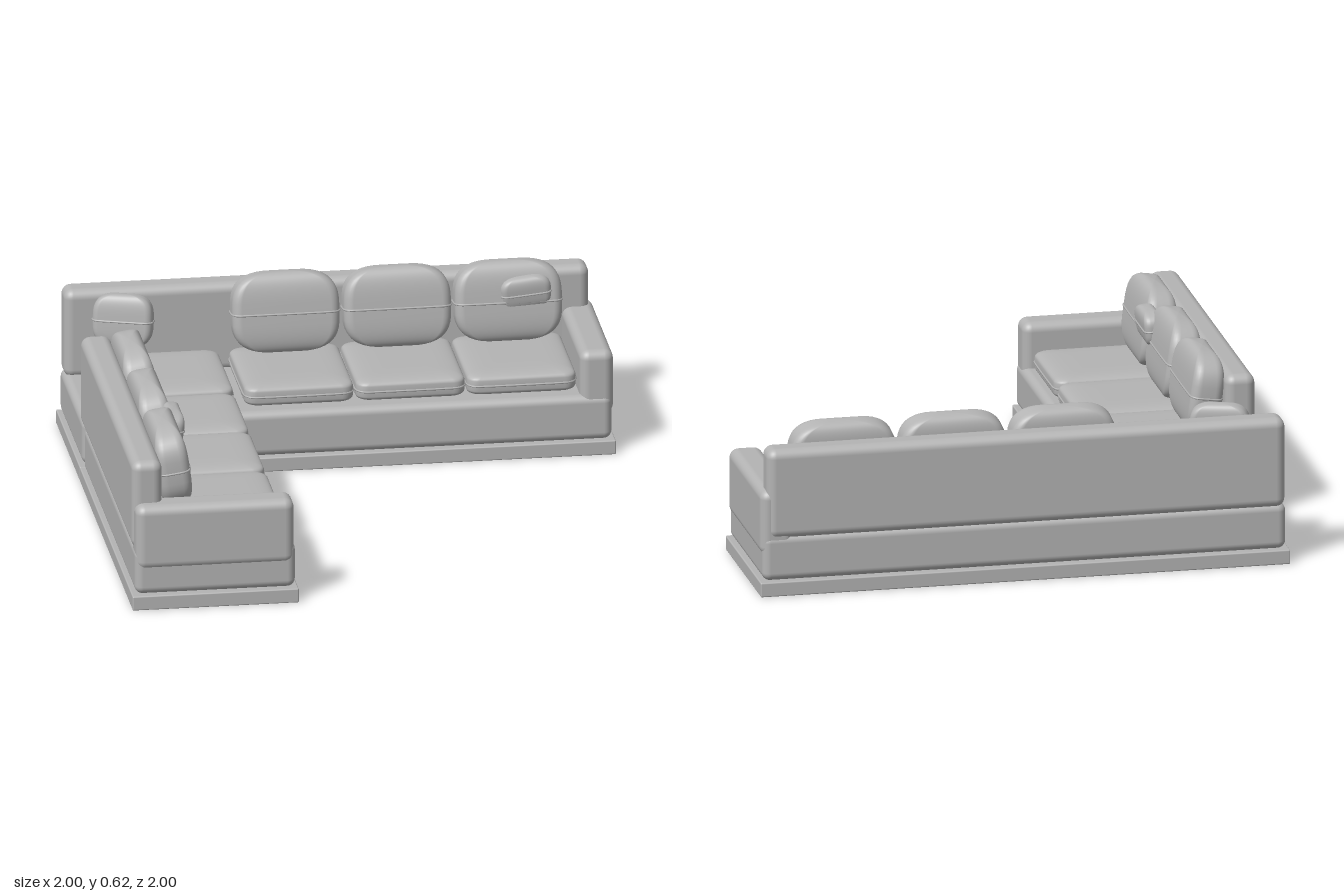
import * as THREE from 'three';
import { RoundedBoxGeometry } from 'three/addons/geometries/RoundedBoxGeometry.js';

const fabric = new THREE.MeshStandardMaterial({ color: 0xb4b4b4 });
fabric.name = 'grey fabric';

function add(parent, name, geometry) {
  const mesh = new THREE.Mesh(geometry, fabric);
  mesh.name = name;
  parent.add(mesh);
  return mesh;
}

// Rounded block given by its [min, max] range on each axis
function block(parent, name, [x0, x1], [y0, y1], [z0, z1], r) {
  const geo = new RoundedBoxGeometry(x1 - x0, y1 - y0, z1 - z0, 4, r);
  add(parent, name, geo).position.set((x0 + x1) / 2, (y0 + y1) / 2, (z0 + z1) / 2);
}

// Rounded-rectangle outline as points on the xz plane
function outline(w, d, r) {
  const pts = [];
  const corners = [[1, 1], [-1, 1], [-1, -1], [1, -1]];
  corners.forEach(([sx, sz], q) => {
    for (let i = 0; i <= 6; i++) {
      const a = (q + i / 6) * Math.PI / 2;
      pts.push(new THREE.Vector3(sx * (w / 2 - r) + r * Math.cos(a), 0, sz * (d / 2 - r) + r * Math.sin(a)));
    }
  });
  return pts;
}

// Stuffed cushion: the outline is shrunk towards top and bottom along a superellipse
function cushion(parent, name, w, h, d, r, n) {
  const group = new THREE.Group();
  group.name = name;
  parent.add(group);
  const ring = outline(w, d, r);
  const count = ring.length, rows = 24;
  const pos = [], idx = [];
  for (let j = 0; j <= rows; j++) {
    const a = (j / rows - 0.5) * Math.PI;
    const s = Math.pow(Math.max(Math.cos(a), 0), 2 / n);
    const y = Math.sign(Math.sin(a)) * Math.pow(Math.abs(Math.sin(a)), 2 / n) * h / 2;
    for (const p of ring) pos.push(p.x * s, y, p.z * s);
  }
  for (let j = 0; j < rows; j++) {
    for (let i = 0; i < count; i++) {
      const a = j * count + i, b = j * count + (i + 1) % count;
      idx.push(a, a + count, b, b, a + count, b + count);
    }
  }
  const geo = new THREE.BufferGeometry();
  geo.setAttribute('position', new THREE.Float32BufferAttribute(pos, 3));
  geo.setIndex(idx);
  geo.computeVertexNormals();
  add(group, name + 'Body', geo);
  // Piping around the middle seam
  const path = new THREE.CatmullRomCurve3(ring, true, 'centripetal');
  add(group, name + 'Piping', new THREE.TubeGeometry(path, 80, 0.004, 6, true));
  return group;
}

// Straight run of sofa along x; side = +1 or -1 says at which end the arm stands
function section(name, side, body, back, centres) {
  const group = new THREE.Group();
  group.name = name;
  block(group, 'seatBase', body, [0.055, 0.23], [-0.988, -0.39], 0.03);
  block(group, 'backrest', back, [0.215, 0.56], [-0.993, -0.88], 0.035);
  const arm = side > 0 ? [0.87, 0.995] : [-0.995, -0.87];
  block(group, 'armrest', arm, [0.15, 0.402], [-0.985, -0.395], 0.035);
  for (const x of centres) {
    cushion(group, 'seatCushion', 0.408, 0.09, 0.46, 0.045, 5).position.set(x, 0.278, -0.65);
    const backCushion = cushion(group, 'backCushion', 0.402, 0.305, 0.122, 0.035, 3.2);
    backCushion.position.set(x, 0.467, -0.818);
    backCushion.rotation.x = -0.14;
  }
  return group;
}

export function createModel() {
  const model = new THREE.Group();
  model.name = 'cornerSofa';

  // Plinth slabs
  block(model, 'backPlinth', [-1, 1], [0, 0.055], [-1, -0.38], 0.005);
  block(model, 'sidePlinth', [-1, -0.38], [0, 0.055], [-0.38, 1], 0.005);

  // Two runs, the side one turned a quarter
  model.add(section('backSection', 1, [-0.988, 0.988], [-0.985, 0.972], [-0.173, 0.243, 0.657]));
  const sideSection = section('sideSection', -1, [-0.988, 0.36], [-0.945, 0.43], [-0.63, -0.21, 0.2]);
  sideSection.rotation.y = Math.PI / 2;
  model.add(sideSection);

  // Corner seat
  cushion(model, 'cornerSeatCushion', 0.458, 0.09, 0.445, 0.045, 5).position.set(-0.645, 0.278, -0.648);

  // Throw pillows: position, rotation, size
  const pillows = [
    [[-0.78, 0.475, -0.785], [-0.1, -0.32, 0], [0.225, 0.2, 0.075]],
    [[0.72, 0.51, -0.785], [0.12, 0, 0.1], [0.19, 0.13, 0.075]],
    [[-0.775, 0.515, 0.42], [0.12, Math.PI / 2, 0], [0.21, 0.13, 0.075]],
  ];
  for (const [p, r, s] of pillows) {
    const pillow = cushion(model, 'throwPillow', s[0], s[1], s[2], 0.025, 3.2);
    pillow.position.set(...p);
    pillow.rotation.set(r[0], r[1], r[2], 'YXZ');
  }
  return model;
}
